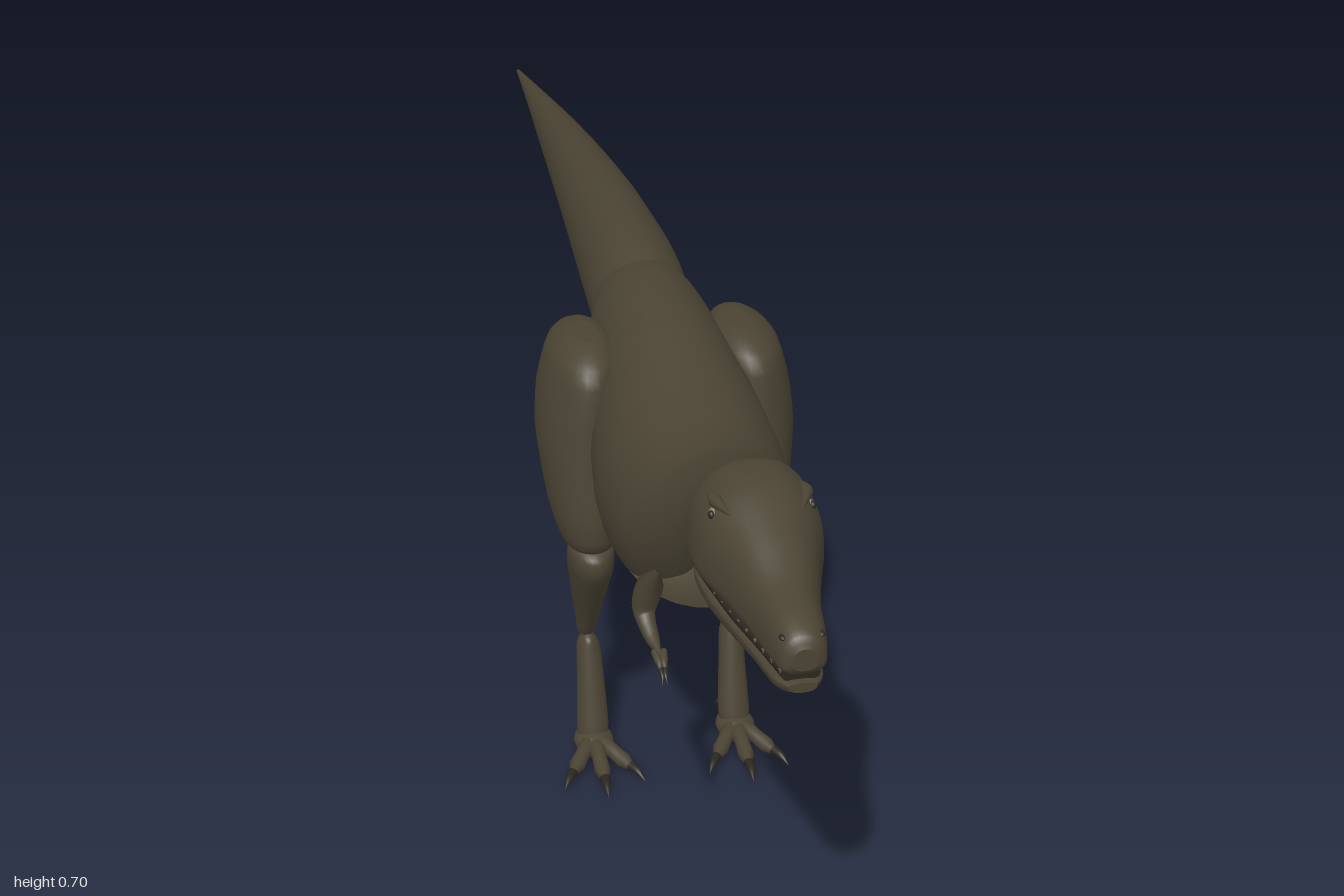
import * as THREE from 'three';

const mat = (name, color, side = THREE.FrontSide) => {
  const m = new THREE.MeshStandardMaterial({ color, side });
  m.name = name;
  return m;
};

export function createModel() {
  const hide = mat('olive hide', 0x4b4434);
  const belly = mat('pale belly', 0x7a7058);
  const claw = mat('dark claw', 0x2b2720);
  const eyeMat = mat('eye', 0x8c8470);
  const toothMat = mat('tooth', 0x6a6250);
  const root = new THREE.Group();
  root.name = 'dinosaur';

  const add = (name, geo, material, parent = root) => {
    const m = new THREE.Mesh(geo, material);
    m.name = name;
    parent.add(m);
    return m;
  };

  // Skin along z through sections [z, low y, high y, half width, centre x].
  // mid: height of the widest line, power: roundness, pale: belly segments per side.
  function loft(secs, { steps = 32, mid = 0.5, power = 1, pale = 0 } = {}) {
    const N = 32;
    const a = new THREE.CatmullRomCurve3(secs.map(s => new THREE.Vector3(s[0], s[1], s[2])), false, 'catmullrom', 0.4);
    const b = new THREE.CatmullRomCurve3(secs.map(s => new THREE.Vector3(s[3], s[4] || 0, 0)), false, 'catmullrom', 0.4);
    const pos = [], main = [], under = [];
    const bend = v => Math.sign(v) * Math.pow(Math.abs(v), power);
    const ring = t => {
      const p = a.getPoint(t), q = b.getPoint(t);
      const yc = p.y + (p.z - p.y) * mid;
      for (let j = 0; j < N; j++) {
        const ang = j / N * Math.PI * 2, c = bend(-Math.cos(ang));
        pos.push(q.y + q.x * bend(Math.sin(ang)), yc + c * (c < 0 ? yc - p.y : p.z - yc), p.x);
      }
      return [q.y, yc, p.x];
    };
    for (let i = 0; i <= steps; i++) ring(i / steps);
    for (let i = 0; i < steps; i++) for (let j = 0; j < N; j++) {
      const k = (j + 1) % N, o = i * N, p = o + N;
      (j < pale || j >= N - pale ? under : main).push(o + j, o + k, p + j, o + k, p + k, p + j);
    }
    // end caps with their own vertices
    for (const t of [0, 1]) {
      const o = pos.length / 3;
      pos.push(...ring(t));
      for (let j = 0; j < N; j++) {
        const k = (j + 1) % N;
        main.push(o + N, o + (t ? j : k), o + (t ? k : j));
      }
    }
    const g = new THREE.BufferGeometry();
    g.setAttribute('position', new THREE.Float32BufferAttribute(pos, 3));
    g.setIndex([...main, ...under]);
    g.addGroup(0, main.length, 0);
    g.addGroup(main.length, under.length, 1);
    g.computeVertexNormals();
    return g;
  }

  // Upright skin through sections [y, front z, back z, inner x, outer x].
  const upright = (secs, s) => loft(secs.map(([y, f, b, x0, x1]) =>
    [y, -f, -b, (x1 - x0) / 2, s * (x0 + x1) / 2]), { steps: 24 }).rotateX(-Math.PI / 2);

  // Tapered tube through points with evenly spaced radii.
  function taper(pts, radii) {
    const n = 16, R = 10;
    const curve = new THREE.CatmullRomCurve3(pts.map(p => new THREE.Vector3(...p)));
    const g = new THREE.TubeGeometry(curve, n, 1, R), p = g.attributes.position;
    const v = new THREE.Vector3();
    for (let i = 0; i <= n; i++) {
      const c = curve.getPointAt(i / n), u = i / n * (radii.length - 1);
      const k = Math.min(Math.floor(u), radii.length - 2);
      const r = THREE.MathUtils.lerp(radii[k], radii[k + 1], u - k);
      for (let j = 0; j <= R; j++) {
        const id = i * (R + 1) + j;
        v.fromBufferAttribute(p, id).sub(c).multiplyScalar(r).add(c);
        p.setXYZ(id, v.x, v.y, v.z);
      }
    }
    return g;
  }

  const skin = [hide, belly];

  // Tail
  add('tail', loft([
    [-1, 0.488, 0.493, 0.003], [-0.8, 0.5, 0.538, 0.016], [-0.6, 0.51, 0.581, 0.03],
    [-0.4, 0.519, 0.619, 0.043], [-0.2, 0.522, 0.65, 0.055], [0, 0.515, 0.666, 0.065],
    [0.08, 0.505, 0.664, 0.066], [0.13, 0.5, 0.655, 0.06]], { pale: 5 }), skin);

  // Trunk and neck
  add('body', loft([
    [0.07, 0.53, 0.65, 0.056], [0.14, 0.475, 0.662, 0.078], [0.22, 0.405, 0.664, 0.094],
    [0.3, 0.364, 0.657, 0.107], [0.41, 0.348, 0.637, 0.118], [0.51, 0.372, 0.626, 0.11],
    [0.59, 0.418, 0.637, 0.088], [0.67, 0.478, 0.672, 0.072], [0.73, 0.535, 0.7, 0.067],
    [0.76, 0.56, 0.69, 0.06]], { steps: 44, pale: 5 }), skin);

  // Head with upper jaw
  add('head', loft([
    [0.715, 0.58, 0.69, 0.06], [0.735, 0.568, 0.704, 0.073], [0.79, 0.572, 0.702, 0.073],
    [0.85, 0.576, 0.681, 0.055], [0.91, 0.58, 0.657, 0.04], [0.965, 0.585, 0.647, 0.032],
    [0.992, 0.588, 0.637, 0.025], [1, 0.597, 0.624, 0.014]], { mid: 0.3, power: 0.85 }), hide);

  // Lower jaw, mouth lining and throat
  add('lowerJaw', loft([
    [0.7, 0.555, 0.59, 0.045], [0.74, 0.538, 0.584, 0.064], [0.79, 0.533, 0.58, 0.061],
    [0.85, 0.537, 0.575, 0.048], [0.91, 0.545, 0.575, 0.036], [0.97, 0.555, 0.578, 0.028],
    [0.993, 0.565, 0.577, 0.016]], { mid: 0.7, power: 0.85, pale: 5 }), skin);
  add('mouthLine', loft([
    [0.76, 0.57, 0.59, 0.064], [0.85, 0.57, 0.59, 0.049], [0.92, 0.572, 0.592, 0.034],
    [0.985, 0.575, 0.593, 0.021]], { power: 0.7 }), claw);

  for (const s of [1, -1]) {
    const side = s > 0 ? 'left' : 'right';
    const part = name => {
      const g = new THREE.Group();
      g.name = side + name;
      root.add(g);
      return g;
    };

    // Eye, brow and nostril
    const face = part('Face');
    const ball = (name, r, p, sc, m) => {
      const b = add(name, new THREE.SphereGeometry(r, 14, 10), m, face);
      b.position.set(...p);
      b.scale.set(...sc);
    };
    ball('eye', 0.009, [s * 0.052, 0.672, 0.79], [0.8, 0.8, 1], eyeMat);
    ball('pupil', 0.005, [s * 0.057, 0.673, 0.794], [0.8, 1, 1], claw);
    add('brow', taper([[s * 0.05, 0.683, 0.755], [s * 0.052, 0.686, 0.782], [s * 0.04, 0.682, 0.815]],
      [0.001, 0.008, 0.001]), hide, face);
    ball('nostril', 0.004, [s * 0.021, 0.63, 0.982], [1, 0.8, 1.4], claw);

    // Teeth along the upper lip
    for (let i = 0; i < 9; i++) {
      const t = i / 8;
      const tooth = add('tooth', new THREE.ConeGeometry(0.0028, 0.011, 5), toothMat, face);
      tooth.position.set(s * THREE.MathUtils.lerp(0.054, 0.021, t), 0.577 + 0.007 * t, 0.81 + 0.17 * t);
      tooth.rotation.x = Math.PI;
    }

    // Small arm with two clawed fingers
    const arm = part('Arm');
    add('forelimb', taper([[s * 0.076, 0.485, 0.6], [s * 0.085, 0.455, 0.588], [s * 0.09, 0.42, 0.582],
      [s * 0.086, 0.398, 0.607], [s * 0.08, 0.388, 0.637]], [0.004, 0.017, 0.017, 0.012, 0.009, 0.001]), hide, arm);
    for (const d of [-1, 1]) {
      const x = s * (0.081 + d * 0.006);
      add('finger', taper([[x, 0.39, 0.628], [x + d * 0.003, 0.385, 0.645], [x + d * 0.003, 0.379, 0.655]],
        [0.004, 0.005, 0.002]), hide, arm);
      add('fingerClaw', taper([[x + d * 0.003, 0.381, 0.652], [x + d * 0.004, 0.376, 0.662],
        [x + d * 0.003, 0.367, 0.668]], [0.003, 0.0025, 0.0003]), claw, arm);
    }

    // Thigh, shin and ankle bone
    const leg = part('Leg');
    add('thigh', upright([
      [0.342, 0.32, 0.27, 0.085, 0.125], [0.36, 0.345, 0.25, 0.072, 0.143], [0.4, 0.35, 0.22, 0.065, 0.156],
      [0.45, 0.345, 0.19, 0.06, 0.164], [0.5, 0.34, 0.165, 0.055, 0.168], [0.55, 0.336, 0.145, 0.055, 0.163],
      [0.6, 0.328, 0.15, 0.06, 0.149], [0.619, 0.3, 0.18, 0.072, 0.13], [0.626, 0.275, 0.21, 0.085, 0.115]], s), hide, leg);
    add('shin', upright([
      [0.16, 0.234, 0.22, 0.094, 0.108], [0.17, 0.243, 0.213, 0.089, 0.113], [0.2, 0.262, 0.21, 0.084, 0.117],
      [0.25, 0.295, 0.218, 0.08, 0.125], [0.31, 0.335, 0.234, 0.074, 0.134], [0.34, 0.335, 0.25, 0.076, 0.133],
      [0.352, 0.31, 0.27, 0.09, 0.12]], s), hide, leg);
    add('ankle', upright([
      [0.015, 0.285, 0.248, 0.08, 0.12], [0.04, 0.28, 0.244, 0.077, 0.12], [0.1, 0.265, 0.229, 0.08, 0.117],
      [0.145, 0.253, 0.215, 0.083, 0.115], [0.16, 0.248, 0.217, 0.09, 0.109], [0.166, 0.238, 0.225, 0.095, 0.104]],
      s), hide, leg);

    // Foot with three splayed toes and a rear spur
    const foot = part('Foot');
    const pad = add('pad', new THREE.SphereGeometry(1, 18, 12), hide, foot);
    pad.position.set(s * 0.099, 0.016, 0.272);
    pad.scale.set(0.027, 0.016, 0.033);
    for (const [dx, z] of [[-0.043, 0.342], [0, 0.365], [0.043, 0.342]]) {
      const at = (t, y) => [s * (0.099 + dx * t), y, 0.27 + (z - 0.27) * t];
      add('toe', taper([at(0, 0.015), at(0.4, 0.017), at(0.7, 0.013), at(1, 0.009)],
        [0.012, 0.013, 0.01, 0.011, 0.003]), hide, foot);
      add('toeClaw', taper([at(0.92, 0.012), at(1.1, 0.01), at(1.27, 0.002)], [0.007, 0.005, 0.0004]), claw, foot);
    }
    add('spur', taper([[s * 0.09, 0.036, 0.255], [s * 0.083, 0.033, 0.24], [s * 0.08, 0.022, 0.23]],
      [0.007, 0.005, 0.0004]), claw, foot);
  }
  return root;
}
